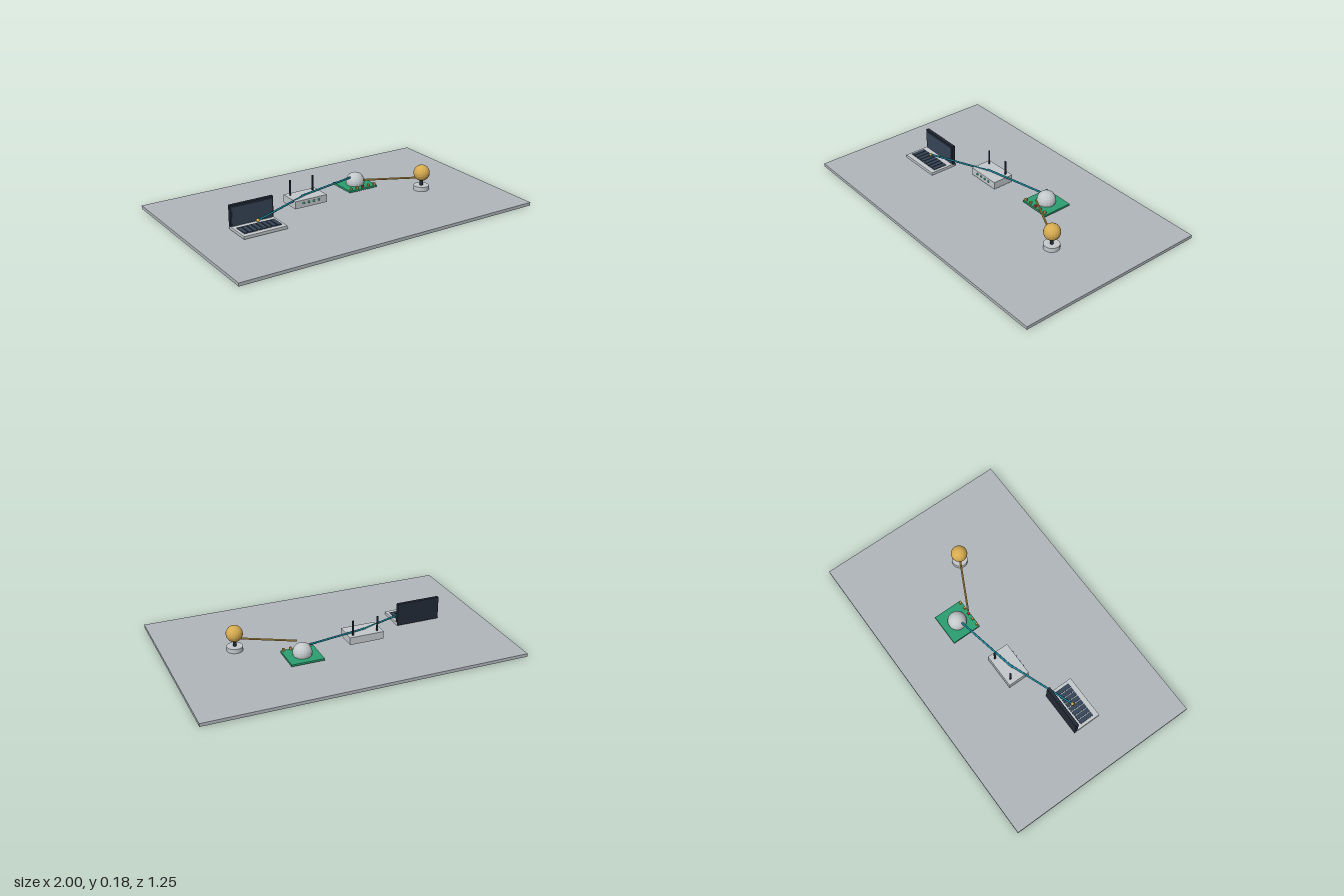
import * as THREE from 'three';

const mat = (name, color, flatShading = false) => {
  const m = new THREE.MeshStandardMaterial({ color });
  m.name = name;
  m.flatShading = flatShading;
  return m;
};

export function createModel() {
  const M = {
    table: mat('table grey', 0xb0b6bb),
    casing: mat('casing grey', 0xc3c8cb, true),
    dark: mat('dark slate', 0x222a36),
    screen: mat('screen slate', 0x364456),
    green: mat('board green', 0x2b9e70),
    gold: mat('gold', 0xd6ab50, true),
    cyan: mat('cable teal', 0x18889e),
    red: mat('red', 0xc0563f),
  };
  const model = new THREE.Group();
  model.name = 'deviceTable';

  const group = (name) => {
    const g = new THREE.Group();
    g.name = name;
    model.add(g);
    return g;
  };
  const add = (parent, name, geo, material, x, y, z) => {
    const m = new THREE.Mesh(geo, material);
    m.name = name;
    m.position.set(x, y, z);
    parent.add(m);
    return m;
  };
  const box = (parent, name, material, w, h, d, x, y, z) =>
    add(parent, name, new THREE.BoxGeometry(w, h, d), material, x, y, z);
  // Straight round cable between two points
  const cable = (name, material, a, b, r) => {
    const path = new THREE.LineCurve3(new THREE.Vector3(...a), new THREE.Vector3(...b));
    const len = path.getLength();
    const m = add(model, name, new THREE.CylinderGeometry(r, r, len, 10), material, 0, 0, 0);
    m.position.copy(path.getPoint(0.5));
    m.quaternion.setFromUnitVectors(new THREE.Vector3(0, 1, 0), path.getTangent(0.5));
  };

  // Table slab
  box(model, 'tableTop', M.table, 2, 0.02, 1.245, 0, 0.01, 0);

  // Laptop with upright screen and a row of long keys
  const laptop = group('laptop');
  box(laptop, 'laptopBase', M.casing, 0.28, 0.018, 0.175, -0.586, 0.034, 0.085);
  box(laptop, 'screenFrame', M.dark, 0.28, 0.145, 0.02, -0.586, 0.1, 0);
  box(laptop, 'screenPanel', M.screen, 0.26, 0.12, 0.004, -0.586, 0.1, 0.011);
  for (let i = 0; i < 8; i++) {
    box(laptop, 'key', M.screen, 0.026, 0.006, 0.092, -0.586 + (i - 3.5) * 0.031, 0.045, 0.095);
  }
  add(laptop, 'cablePlug', new THREE.SphereGeometry(0.011, 12, 8), M.gold, -0.586, 0.075, 0.078);

  // Router with two antennas and four status lights
  const router = group('router');
  box(router, 'routerCase', M.casing, 0.22, 0.048, 0.14, -0.17, 0.065, -0.088);
  for (const side of [-1, 1]) {
    add(router, 'antenna', new THREE.CylinderGeometry(0.006, 0.006, 0.1, 10), M.dark,
      -0.17 + side * 0.079, 0.133, -0.13);
  }
  for (let i = 0; i < 4; i++) {
    add(router, 'statusLight', new THREE.SphereGeometry(0.007, 10, 8), M.green,
      -0.17 + (i - 1.5) * 0.036, 0.07, -0.017);
  }

  // Circuit board carrying a dome and a row of contacts
  const board = group('sensorBoard');
  box(board, 'circuitBoard', M.green, 0.205, 0.012, 0.19, 0.248, 0.041, -0.169);
  add(board, 'dome', new THREE.SphereGeometry(0.059, 18, 12), M.casing, 0.248, 0.064, -0.169);
  for (let i = 0; i < 5; i++) {
    box(board, 'contact', i === 2 ? M.red : M.gold, 0.013, 0.016, 0.012,
      0.248 + (i - 2) * 0.043, 0.055, -0.084);
  }

  // Gold globe on a round foot
  const globe = group('globeLamp');
  add(globe, 'foot', new THREE.CylinderGeometry(0.049, 0.049, 0.028, 24), M.casing, 0.58, 0.036, 0.082);
  add(globe, 'neck', new THREE.CylinderGeometry(0.011, 0.011, 0.05, 12), M.dark, 0.58, 0.07, 0.082);
  add(globe, 'globe', new THREE.SphereGeometry(0.051, 18, 12), M.gold, 0.58, 0.131, 0.082);

  // Cables linking the devices
  cable('laptopCable', M.cyan, [-0.586, 0.075, 0.078], [-0.17, 0.09, -0.085], 0.006);
  cable('boardCable', M.cyan, [-0.2, 0.091, -0.078], [0.248, 0.1, -0.169], 0.006);
  cable('globeCable', M.gold, [0.25, 0.098, -0.085], [0.58, 0.1, 0.082], 0.006);

  return model;
}
